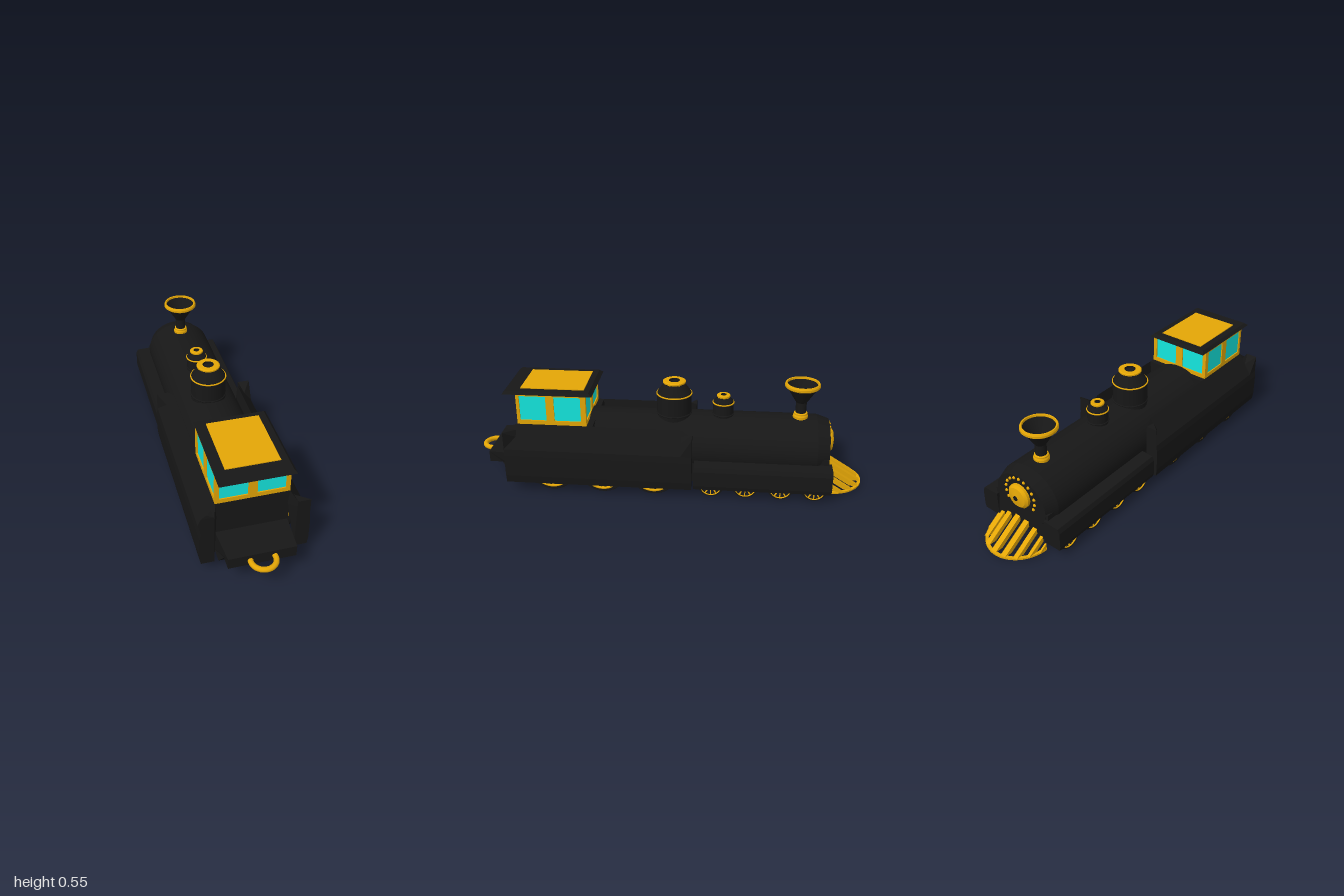
import * as THREE from 'three';

const paint = (color) => new THREE.MeshStandardMaterial({ color, side: THREE.DoubleSide });
const black = paint(0x171717);
const gold = paint(0xe4a606);
const glass = paint(0x14e6de);

export function createModel() {
  const model = new THREE.Group();
  model.name = 'steamLocomotive';

  const add = (name, geometry, material, x = 0, y = 0, z = 0, parent = model) => {
    const mesh = new THREE.Mesh(geometry, material);
    mesh.name = name;
    mesh.position.set(x, y, z);
    parent.add(mesh);
    return mesh;
  };
  const box = (name, w, h, d, material, x, y, z, parent) =>
    add(name, new THREE.BoxGeometry(w, h, d), material, x, y, z, parent);
  const extrude = (points, depth, steps = 1) => new THREE.ExtrudeGeometry(
    new THREE.Shape(points.map(([x, y]) => new THREE.Vector2(x, y))), { depth, steps, bevelEnabled: false });
  // Profile in (z, y), extruded across x and centred on x = 0
  const sideways = (points, width) => extrude(points, width).rotateY(-Math.PI / 2).translate(width / 2, 0, 0);
  // Each stretch between points is its own lathe, so profile corners stay sharp
  const turned = (name, points, material, parent) => {
    for (let i = 0; i < points.length - 1; i++) {
      const pair = [points[i], points[i + 1]].map(([r, y]) => new THREE.Vector2(r, y));
      add(name, new THREE.LatheGeometry(pair, 40), material, 0, 0, 0, parent);
    }
  };
  const group = (name, x, y, z) => {
    const g = new THREE.Group();
    g.name = name;
    g.position.set(x, y, z);
    model.add(g);
    return g;
  };
  // Wheel cover: rows are [x, y] at the closed ends, then [x, y] along the hollow middle
  const cover = (name, rows, z0, z1, inset, side) => {
    const length = z1 - z0;
    const geometry = extrude(rows.map(([x, y]) => [x * side, y]), length, 3);
    const v = geometry.attributes.position;
    for (let i = 0; i < v.count; i++) {
      const layer = Math.round((v.getZ(i) / length) * 3);
      if (layer === 0 || layer === 3) continue;
      const x = v.getX(i) * side;
      const y = v.getY(i);
      const row = rows.find((r) => Math.hypot(r[0] - x, r[1] - y) < 1e-4);
      v.setXYZ(i, row[2] * side, row[3], layer === 1 ? inset : length - inset);
    }
    geometry.computeVertexNormals();
    add(name, geometry, black, 0, 0, z0);
  };

  // Boiler, lying along z with a chamfered smokebox end
  const boiler = group('boiler', 0, 0.209, 0);
  turned('boilerShell', [[0, -0.6], [0.175, -0.6], [0.175, 0.75], [0.152, 0.812], [0, 0.812]], black, boiler);
  boiler.rotation.x = -Math.PI / 2;
  boiler.scale.z = 0.154 / 0.175;
  box('frame', 0.33, 0.15, 1.56, black, 0, 0.127, -0.03);
  box('cabBase', 0.344, 0.29, 0.38, black, 0, 0.198, 0.56);

  // Smokebox door with its ring of bolts
  const door = group('smokeboxDoor', 0, 0.24, -0.81);
  door.rotation.x = -Math.PI / 2;
  turned('doorPlate', [[0.062, -0.005], [0.062, 0.015], [0.05, 0.026], [0.012, 0.033]], gold, door);
  turned('doorKnob', [[0.012, 0.028], [0.012, 0.036], [0, 0.036]], black, door);
  for (let i = 0; i < 13; i++) {
    const a = -0.5 + (i / 12) * (Math.PI + 1);
    add('doorBolt', new THREE.SphereGeometry(0.008, 10, 8), gold,
      0.09 * Math.cos(a), 0.003, 0.09 * Math.sin(a), door);
  }

  // Rear skirts with squared ends and a sloping shoulder, and running boards
  for (const side of [1, -1]) {
    cover('rearSkirt', [
      [0.188, 0.05, 0.165, 0.27], [0.225, 0.05, 0.236, 0.225], [0.236, 0.05, 0.236, 0.05],
      [0.25, 0.05, 0.25, 0.05], [0.255, 0.09, 0.255, 0.09], [0.255, 0.2, 0.255, 0.2],
      [0.25, 0.235, 0.25, 0.235], [0.25, 0.326, 0.211, 0.289], [0.19, 0.326, 0.19, 0.318],
      [0.188, 0.3, 0.172, 0.343],
    ], -0.13, 0.81, 0.055, side);
    cover('runningBoard', [
      [0.15, 0.05, 0.15, 0.15], [0.215, 0.05, 0.232, 0.15], [0.232, 0.05, 0.232, 0.05],
      [0.24, 0.05, 0.24, 0.05], [0.245, 0.07, 0.245, 0.07], [0.245, 0.15, 0.245, 0.15],
      [0.235, 0.172, 0.235, 0.172], [0.15, 0.176, 0.15, 0.176],
    ], -0.825, -0.14, 0.012, side);
  }

  // Rear platform, narrowing toward the coupling ring
  const platform = sideways([[0.74, 0.17], [0.92, 0.17], [0.92, 0.113],
    [0.855, 0.113], [0.815, 0.055], [0.74, 0.055]], 0.34);
  const p = platform.attributes.position;
  for (let i = 0; i < p.count; i++) {
    if (p.getZ(i) > 0.85) p.setX(i, p.getX(i) * 0.92);
  }
  platform.computeVertexNormals();
  add('rearPlatform', platform, black);
  const ring = add('couplingRing', new THREE.TorusGeometry(0.057, 0.013, 12, 36), gold, 0, 0.14, 0.93);
  ring.rotation.x = Math.PI / 2;

  // Cab: a glass core framed by sills, rails and posts
  const cab = group('cab', 0, 0, 0.575);
  box('windowGlass', 0.332, 0.14, 0.338, glass, 0, 0.43, 0, cab);
  box('sill', 0.344, 0.023, 0.35, gold, 0, 0.3535, 0, cab);
  box('topFrame', 0.344, 0.007, 0.35, gold, 0, 0.4985, 0, cab);
  for (const s of [1, -1]) {
    box('endPost', 0.042, 0.15, 0.012, gold, 0, 0.425, s * 0.169, cab);
    box('sidePost', 0.012, 0.15, 0.04, gold, s * 0.166, 0.425, 0.005, cab);
    box('rearCornerPost', 0.02, 0.15, 0.016, gold, s * 0.162, 0.425, 0.167, cab);
    box('frontCornerPost', 0.02, 0.15, 0.026, gold, s * 0.162, 0.425, -0.162, cab);
  }

  // Roof slab with sloped edges
  const roof = new THREE.CylinderGeometry(Math.SQRT1_2 * 0.92, Math.SQRT1_2, 0.015, 4).toNonIndexed();
  roof.rotateY(Math.PI / 4).scale(0.346, 1, 0.45);
  roof.computeVertexNormals();
  add('roof', roof, black, 0, 0.5085, 0.593);
  box('roofPanel', 0.25, 0.006, 0.32, gold, 0, 0.517, 0.575);

  // Steam dome and sand dome
  const dome = (name, z, r, shoulder, top, capR, holeR) => {
    const g = group(name, 0, 0, z);
    turned('domeBody', [[r, 0.32], [r, shoulder], [r * 0.94, shoulder + 0.01], [capR * 0.9, top - 0.015]], black, g);
    turned('domeCap', [[capR * 0.85, top - 0.015], [capR, top - 0.01], [capR, top - 0.003],
      [capR * 0.9, top], [holeR, top]], gold, g);
    turned('domeHole', [[holeR, top], [holeR, top - 0.012], [0, top - 0.012]], black, g);
    for (const [y, material] of [[shoulder, gold], [0.368, black]]) {
      const band = add('domeBand', new THREE.TorusGeometry(r, 0.004, 8, 40), material, 0, y, 0, g);
      band.rotation.x = Math.PI / 2;
    }
  };
  dome('steamDome', -0.025, 0.088, 0.47, 0.538, 0.058, 0.028);
  dome('sandDome', -0.275, 0.052, 0.428, 0.47, 0.034, 0.015);

  // Flared chimney, open at the top
  const chimney = group('chimney', 0, 0, -0.665);
  turned('chimneyBase', [[0.038, 0.34], [0.038, 0.372], [0.034, 0.38], [0.034, 0.386], [0.027, 0.39]], gold, chimney);
  turned('chimneyFunnel', [[0.027, 0.385], [0.027, 0.445], [0.034, 0.455], [0.08, 0.53], [0.077, 0.54],
    [0.022, 0.46], [0, 0.46]], black, chimney);
  turned('chimneyRim', [[0.08, 0.523], [0.088, 0.53], [0.088, 0.54], [0.084, 0.548], [0.077, 0.548],
    [0.075, 0.535]], gold, chimney);

  // Spoked wheels with an inner flange
  const wheel = (side, z, r, spokes) => {
    const g = group(r > 0.1 ? 'drivingWheel' : 'leadingWheel', side * 0.205, r, z);
    g.rotation.z = -side * Math.PI / 2;
    turned('tyre', [[r * 0.8, 0], [r, 0], [r, 0.01], [r - 0.009, 0.012], [r - 0.009, 0.025],
      [r * 0.8, 0.025], [r * 0.8, 0]], black, g);
    const trim = add('rimTrim', new THREE.TorusGeometry(r * 0.8, r * 0.055, 8, 40), gold, 0, 0.02, 0, g);
    trim.rotation.x = Math.PI / 2;
    add('hub', new THREE.CylinderGeometry(r * 0.2, r * 0.2, 0.03, 20), gold, 0, 0.012, 0, g);
    for (let i = 0; i < spokes; i++) {
      const spoke = box('spoke', r * 1.6, 0.01, r * 0.07, gold, 0, 0.012, 0, g);
      spoke.rotation.y = (i * Math.PI) / spokes;
    }
  };
  for (const side of [1, -1]) {
    for (const z of [0.58, 0.32, 0.062]) wheel(side, z, 0.122, 8);
    for (const z of [-0.228, -0.4, -0.575, -0.743]) wheel(side, z, 0.067, 6);
  }

  // Pilot: deep slats of one slope, fanning down to a rounded bottom rail
  const pilot = group('pilot', 0, 0, -0.828);
  const outline = new THREE.Shape();
  outline.absellipse(0, 0, 0.162, 0.172, 0, Math.PI, false);
  const inner = new THREE.Path();
  inner.absellipse(0, 0, 0.148, 0.156, Math.PI, 0, true);
  for (const q of inner.getPoints(24)) outline.lineTo(q.x, q.y);
  const rail = add('bottomRail', new THREE.ExtrudeGeometry(outline,
    { depth: 0.009, bevelEnabled: false, curveSegments: 32 }), gold, 0, 0.013, 0, pilot);
  rail.rotation.x = -Math.PI / 2;
  const slats = [[-0.156, 0.009], [-0.134, 0.016], [-0.094, 0.024], [-0.042, 0.028],
    [0.014, 0.028], [0.07, 0.024], [0.115, 0.02], [0.147, 0.012]];
  for (const [x, width] of slats) {
    const reach = 0.168 * Math.sqrt(1 - (x / 0.162) ** 2);
    const top = 0.02 + reach * 0.63;
    const back = Math.max(0.02, top - 0.028);
    add('slat', sideways([[0, top], [-reach, 0.02], [-reach * (back - 0.02) / (top - 0.02), 0.02],
      [0, back]], width), gold, x, 0, 0, pilot);
  }

  return model;
}
